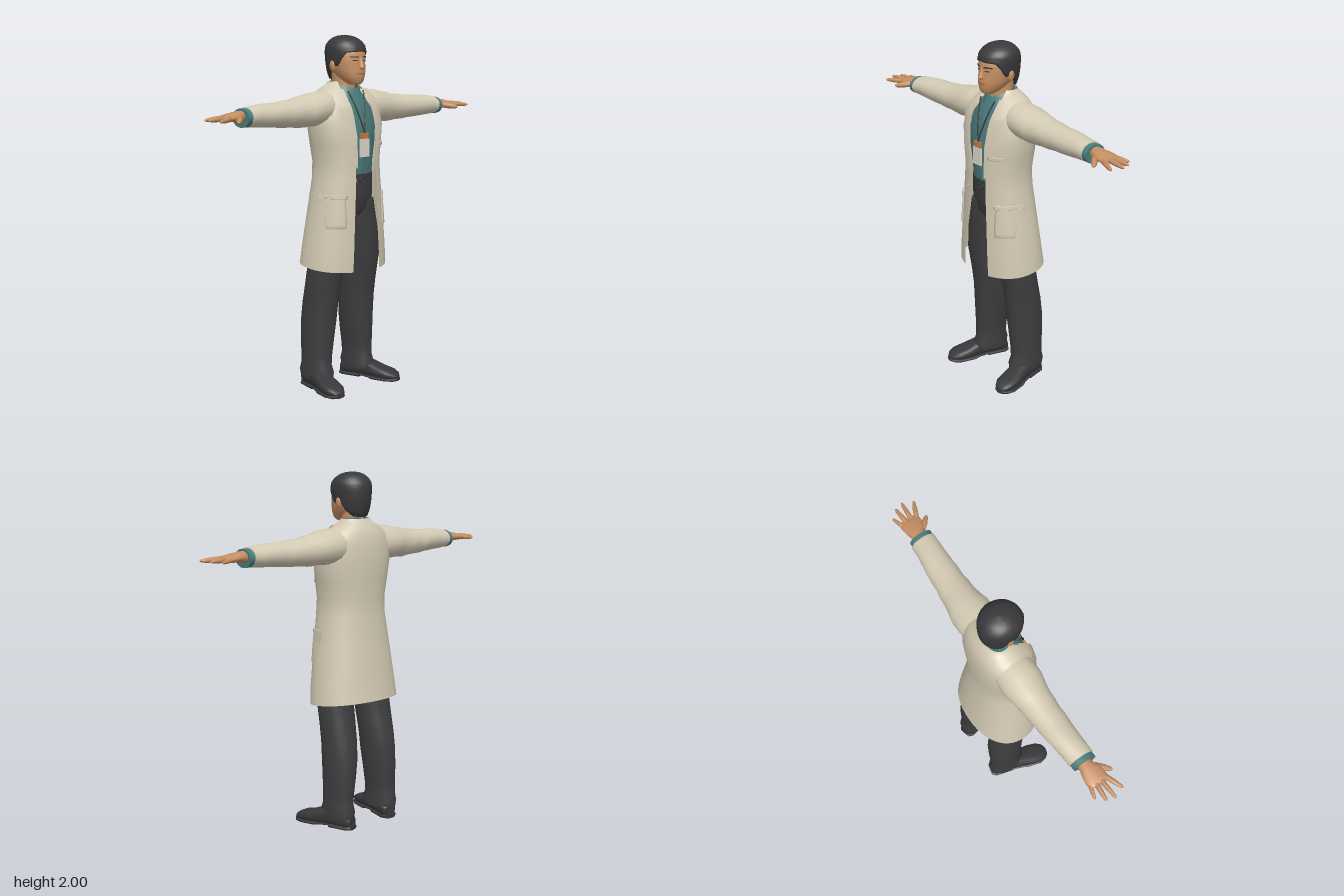
import * as THREE from 'three';
import { mergeGeometries } from 'three/addons/utils/BufferGeometryUtils.js';

const mat = (name, color, side = THREE.FrontSide) => Object.assign(new THREE.MeshStandardMaterial({ color, side }), { name });
const power = (v, p) => Math.sign(v) * Math.abs(v) ** p;

// Surface through rows of points; optional closed rings and end caps
function loft(rows, closed = true, caps = true) {
  if (closed && caps) {
    const centre = (row) => {
      const c = [0, 1, 2].map((k) => row.reduce((s, q) => s + q[k], 0) / row.length);
      return row.map(() => c);
    };
    const first = rows[0], last = rows[rows.length - 1];
    rows = [centre(first), first, ...rows, last, centre(last)];
  }
  const n = rows[0].length, idx = [];
  for (let i = 0; i < rows.length - 1; i++) {
    for (let j = 0; j < (closed ? n : n - 1); j++) {
      const k = (j + 1) % n, a = i * n + j, b = i * n + k, c = b + n, d = a + n;
      idx.push(a, b, c, a, c, d);
    }
  }
  const g = new THREE.BufferGeometry();
  g.setAttribute('position', new THREE.Float32BufferAttribute(rows.flat(2), 3));
  g.setIndex(idx);
  g.computeVertexNormals();
  return g;
}

// Linear lookup in a table whose first column is the key
function at(table, y) {
  let i = 0;
  while (i < table.length - 2 && y > table[i + 1][0]) i++;
  const a = table[i], b = table[i + 1];
  const t = THREE.MathUtils.clamp((y - a[0]) / (b[0] - a[0]), 0, 1);
  return a.map((v, k) => v + (b[k] - v) * t);
}

// Horizontal oval from a row [y, halfWidth, zFront, zBack, centreX]
const ovalPoint = ([y, w, zf, zb, cx = 0], a, p = 1) =>
  [cx + w * power(Math.sin(a), p), y, (zf + zb) / 2 + (zf - zb) / 2 * power(Math.cos(a), p)];
const ring = (row, n = 24, p = 1) => Array.from({ length: n }, (_, j) => ovalPoint(row, j / n * Math.PI * 2, p));
const upright = (table, p) => loft(table.map((r) => ring(r, 24, p)));

// Oval sections along x from rows [x, centreY, radiusY, centreZ, radiusZ]
const sideways = (table, fold = 0) => loft(table.map(([x, cy, ry, cz, rz]) =>
  Array.from({ length: 20 }, (_, j) => {
    const a = j / 20 * Math.PI * 2, f = 1 + fold * Math.sin(x * 75 + 2 * a);
    return [x, cy + ry * f * Math.cos(a), cz + rz * f * Math.sin(a)];
  })));

// Raised panel lying on the front of an oval body
function frontZ(table, x, y, p = 1) {
  const [, w, zf, zb] = at(table, y);
  return (zf + zb) / 2 + (zf - zb) / 2 * Math.max(0, 1 - Math.abs(x / w) ** (2 / p)) ** (p / 2);
}
function panel(table, x0, x1, y0, y1, off, p = 1) {
  const rim = (t) => Math.min(Math.max((t - 1) / 8, 0), 1);
  return loft(Array.from({ length: 11 }, (_, i) => Array.from({ length: 11 }, (_, j) => {
    const x = x0 + (x1 - x0) * rim(j), y = y0 + (y1 - y0) * rim(i);
    const edge = i === 0 || j === 0 || i === 10 || j === 10;
    return [x, y, frontZ(table, x, y, p) + (edge ? -0.003 : off)];
  })), false);
}

function mirror(g) {
  const m = g.clone().scale(-1, 1, 1), ix = m.index;
  for (let i = 0; i < ix.count; i += 3) {
    const t = ix.getX(i);
    ix.setX(i, ix.getX(i + 1));
    ix.setX(i + 1, t);
  }
  return m;
}

export function createModel() {
  const model = new THREE.Group();
  const coatMat = mat('coat cream', 0xd3cab3, THREE.DoubleSide), shirtMat = mat('shirt teal', 0x4b7b7b, THREE.DoubleSide);
  const pantsMat = mat('trouser grey', 0x3e3e40), shoeMat = mat('shoe grey', 0x38383a);
  const hairMat = mat('hair black', 0x39393b, THREE.DoubleSide), skinMat = mat('skin', 0xc48e62);
  const lipMat = mat('lip brown', 0xa06c4c, THREE.DoubleSide), badgeMat = mat('badge white', 0xdcd8cc);
  const clipMat = mat('clip orange', 0xc47a48);
  const add = (name, g, m) => {
    const mesh = new THREE.Mesh(g, m);
    mesh.name = name;
    model.add(mesh);
    return mesh;
  };
  const pair = (name, g, m) => { add('left' + name, g, m); add('right' + name, mirror(g), m); };

  // Coat body, open at the front: [y, halfWidth, zFront, zBack, opening]
  const coat = [
    [0.70, 0.268, 0.185, -0.21, 0.105], [0.80, 0.262, 0.185, -0.2, 0.1], [1.0, 0.235, 0.182, -0.175, 0.09],
    [1.2, 0.205, 0.18, -0.152, 0.08], [1.3, 0.2, 0.175, -0.15, 0.078], [1.4, 0.22, 0.172, -0.155, 0.076],
    [1.5, 0.238, 0.165, -0.158, 0.08], [1.6, 0.235, 0.135, -0.152, 0.085], [1.65, 0.21, 0.11, -0.14, 0.09],
    [1.69, 0.16, 0.08, -0.125, 0.085], [1.72, 0.1, 0.055, -0.1, 0.075], [1.74, 0.085, 0.04, -0.085, 0.07]];
  const P = 0.9;
  add('coatBody', loft(coat.map(([y, w, zf, zb, o]) => {
    const a0 = Math.asin((o / w) ** (1 / P));
    return Array.from({ length: 45 }, (_, j) => {
      const a = a0 + (2 * Math.PI - 2 * a0) * j / 44;
      const q = ovalPoint([y, w, zf, zb], a, P);
      if (y < 0.75) q[1] += (0.1 - q[2]) * 0.11;
      return q;
    });
  }), false), coatMat);

  // Sleeves with soft folds
  const sleeve = [
    [0.1, 1.605, 0.088, -0.02, 0.1], [0.18, 1.595, 0.095, -0.015, 0.115], [0.25, 1.592, 0.093, -0.015, 0.113],
    [0.3, 1.586, 0.088, -0.014, 0.102], [0.35, 1.582, 0.083, -0.014, 0.095], [0.4, 1.579, 0.077, -0.012, 0.089],
    [0.45, 1.578, 0.072, -0.01, 0.086], [0.5, 1.577, 0.069, -0.008, 0.083], [0.55, 1.578, 0.066, -0.006, 0.08],
    [0.62, 1.579, 0.061, -0.002, 0.077], [0.68, 1.578, 0.057, 0.002, 0.073], [0.735, 1.577, 0.053, 0.004, 0.07]];
  pair('Sleeve', sideways(sleeve, 0.025), coatMat);
  pair('ShirtCuff', sideways([[0.72, 1.575, 0.05, 0.004, 0.066], [0.765, 1.574, 0.05, 0.006, 0.066]]), shirtMat);

  // Lapels, notched below the collar: [y, outerX]
  const lapel = [[1.27, 0.082], [1.35, 0.105], [1.45, 0.13], [1.55, 0.155], [1.6, 0.168], [1.612, 0.135],
    [1.625, 0.16], [1.66, 0.145], [1.7, 0.115]];
  pair('Lapel', loft(lapel.map(([y, out]) => Array.from({ length: 7 }, (_, j) => {
    const inner = at(coat, y)[4] - 0.004, x = inner + (out - inner) * j / 6;
    return [x, y, frontZ(coat, x, y, P) + 0.009];
  })), false), coatMat);

  // Pockets
  pair('HipPocket', panel(coat, 0.145, 0.226, 0.94, 1.12, 0.009, P), coatMat);
  pair('PocketFlap', panel(coat, 0.14, 0.222, 1.105, 1.125, 0.014, P), coatMat);
  add('chestPocket', panel(coat, 0.1, 0.175, 1.385, 1.405, 0.01, P), coatMat);

  // Shirt, collar and placket
  const shirt = [[1.21, 0.17, 0.132, -0.12], [1.3, 0.172, 0.138, -0.125], [1.4, 0.188, 0.145, -0.13],
    [1.5, 0.2, 0.14, -0.13], [1.6, 0.18, 0.115, -0.12], [1.66, 0.13, 0.09, -0.1], [1.7, 0.07, 0.07, -0.065]];
  add('shirt', upright(shirt), shirtMat);
  add('placket', panel(shirt, -0.012, 0.012, 1.23, 1.62, 0.004), shirtMat);
  const collarRow = (w, d, c, y) => Array.from({ length: 25 }, (_, j) => {
    const a = 0.3 + (2 * Math.PI - 0.6) * j / 24;
    return [w * Math.sin(a), y(Math.cos(a)), c + d * Math.cos(a)];
  });
  add('shirtCollar', loft([
    collarRow(0.096, 0.085, 0.015, (c) => 1.67 - 0.04 * Math.max(0, c)),
    collarRow(0.082, 0.08, 0.005, (c) => 1.715 - 0.02 * c),
    collarRow(0.072, 0.074, 0.0, (c) => 1.735 - 0.025 * c)], false), shirtMat);

  // Trousers
  add('hips', upright([[0.99, 0.14, 0.09, -0.1], [1.03, 0.175, 0.118, -0.122], [1.12, 0.18, 0.134, -0.128],
    [1.23, 0.174, 0.138, -0.126]]), pantsMat);
  pair('TrouserLeg', upright([
    [0.065, 0.07, 0.05, -0.165, 0.165], [0.1, 0.073, 0.055, -0.172, 0.165], [0.14, 0.069, 0.038, -0.16, 0.166],
    [0.2, 0.072, 0.038, -0.16, 0.163], [0.3, 0.08, 0.045, -0.166, 0.157], [0.4, 0.088, 0.052, -0.165, 0.15],
    [0.5, 0.092, 0.058, -0.152, 0.146], [0.6, 0.096, 0.072, -0.132, 0.142], [0.75, 0.1, 0.1, -0.105, 0.138],
    [0.9, 0.1, 0.112, -0.11, 0.116], [1.0, 0.095, 0.117, -0.118, 0.095], [1.08, 0.085, 0.118, -0.118, 0.085]], 0.92), pantsMat);
  const buckle = add('buckle', new THREE.TorusGeometry(0.018, 0.005, 6, 16), shoeMat);
  buckle.position.set(0, 1.195, 0.138);
  buckle.scale.y = 0.7;

  // Shoes, toes turned out: [z, halfWidth, bottom, top]
  const shoeLoft = (rows) => loft(rows.map(([z, w, lo, hi]) => Array.from({ length: 20 }, (_, j) => {
    const a = j / 20 * Math.PI * 2;
    return [-w * power(Math.sin(a), 0.75), (lo + hi) / 2 + (hi - lo) / 2 * power(Math.cos(a), 0.75), z];
  }))).rotateY(0.26).translate(0.19, 0, 0);
  pair('Shoe', shoeLoft([[-0.165, 0.035, 0.015, 0.07], [-0.14, 0.052, 0.012, 0.1], [-0.04, 0.053, 0.012, 0.125],
    [0.03, 0.056, 0.012, 0.105], [0.1, 0.064, 0.012, 0.078], [0.155, 0.06, 0.012, 0.066],
    [0.19, 0.043, 0.014, 0.05], [0.205, 0.02, 0.016, 0.032]]), shoeMat);
  pair('Sole', shoeLoft([[-0.17, 0.035, 0, 0.026], [-0.145, 0.053, 0, 0.026], [-0.035, 0.053, 0, 0.026],
    [-0.03, 0.052, 0.012, 0.026], [0.03, 0.057, 0.008, 0.024], [0.06, 0.064, 0, 0.022],
    [0.15, 0.065, 0, 0.022], [0.19, 0.046, 0, 0.022], [0.209, 0.02, 0.004, 0.022]]), shoeMat);

  // Hands: palm plus tapered digits from base to tip
  const digit = (a, b, r0, r1) => {
    const A = new THREE.Vector3(...a), d = new THREE.Vector3(...b).sub(A), len = d.length();
    const g = new THREE.LatheGeometry([[0, 0], [r0, 0.001], [r0 * 0.95, len * 0.5], [r1, len * 0.88], [r1 * 0.6, len * 0.97], [0, len]]
      .map((q) => new THREE.Vector2(...q)), 10);
    g.deleteAttribute('uv');
    g.applyQuaternion(new THREE.Quaternion().setFromUnitVectors(new THREE.Vector3(0, 1, 0), d.normalize()));
    return g.translate(...a);
  };
  pair('Hand', mergeGeometries([
    sideways([[0.74, 1.58, 0.034, 0.002, 0.036], [0.785, 1.582, 0.03, 0.003, 0.042], [0.82, 1.582, 0.025, 0.007, 0.056],
      [0.86, 1.579, 0.02, 0.007, 0.06], [0.885, 1.577, 0.016, 0.007, 0.056], [0.895, 1.576, 0.01, 0.007, 0.05]]),
    digit([0.8, 1.575, 0.04], [0.865, 1.56, 0.108], 0.018, 0.011),
    digit([0.87, 1.577, 0.05], [0.975, 1.57, 0.095], 0.014, 0.009),
    digit([0.875, 1.58, 0.022], [1.0, 1.575, 0.033], 0.014, 0.009),
    digit([0.875, 1.58, -0.008], [0.985, 1.574, -0.015], 0.014, 0.009),
    digit([0.865, 1.577, -0.036], [0.945, 1.57, -0.058], 0.012, 0.008)]), skinMat);

  // Head, neck and features
  const head = [[1.725, 0.03, 0.115, 0.04], [1.74, 0.05, 0.13, 0.01], [1.77, 0.072, 0.134, -0.04], [1.8, 0.085, 0.134, -0.065],
    [1.84, 0.094, 0.127, -0.085], [1.88, 0.099, 0.128, -0.09], [1.92, 0.096, 0.115, -0.088], [1.96, 0.075, 0.08, -0.065]];
  add('head', upright(head), skinMat);
  add('neck', upright([[1.64, 0.068, 0.068, -0.075], [1.7, 0.06, 0.062, -0.075], [1.8, 0.06, 0.06, -0.075]]), skinMat);
  add('nose', loft([[1.806, 0.012, 0.136, 0.11], [1.814, 0.018, 0.15, 0.105], [1.822, 0.015, 0.152, 0.105],
    [1.845, 0.01, 0.139, 0.1], [1.872, 0.009, 0.131, 0.1]].map((r) => ring(r, 12))), skinMat);
  pair('Ear', new THREE.SphereGeometry(1, 12, 8).scale(0.012, 0.032, 0.02).rotateZ(-0.15).translate(0.097, 1.825, 0.005), skinMat);
  pair('Brow', panel(head, 0.018, 0.062, 1.872, 1.879, 0.003), hairMat);
  pair('Eye', panel(head, 0.024, 0.05, 1.853, 1.858, 0.002), hairMat);
  add('mouth', panel(head, -0.026, 0.026, 1.779, 1.788, 0.003), lipMat);

  // Hair shell; its lower edge follows the hairline: [angle from front, y]
  const hair = [[1.74, 0.07, 0.07, -0.085], [1.79, 0.094, 0.12, -0.105], [1.84, 0.102, 0.131, -0.113], [1.9, 0.109, 0.132, -0.115],
    [1.935, 0.107, 0.122, -0.109], [1.96, 0.092, 0.1, -0.092], [1.978, 0.07, 0.073, -0.07], [1.99, 0.04, 0.04, -0.04], [1.995, 0, 0, 0]];
  const hairline = [[0, 1.905], [0.8, 1.9], [1.1, 1.86], [1.25, 1.825], [1.45, 1.825], [1.65, 1.85], [1.95, 1.79], [2.3, 1.755], [3.15, 1.748]];
  const hairRow = (t, shrink) => Array.from({ length: 48 }, (_, j) => {
    const a = j / 48 * Math.PI * 2, low = at(hairline, Math.min(a, 2 * Math.PI - a))[1];
    const q = ovalPoint(at(hair, low + (1.995 - low) * t), a);
    return [q[0] * shrink, q[1], q[2] * shrink];
  });
  add('hair', loft([hairRow(0, 0.85), ...Array.from({ length: 15 }, (_, i) => hairRow(1 - (1 - i / 14) ** 1.4, 1))], true, false), hairMat);

  // Lanyard and badge
  const cord = new THREE.CatmullRomCurve3([[0.06, 1.69, 0.088], [0.036, 1.6, 0.125], [0.012, 1.51, 0.147], [0, 1.46, 0.156]]
    .map((q) => new THREE.Vector3(...q)));
  pair('Lanyard', new THREE.TubeGeometry(cord, 12, 0.004, 6), shoeMat);
  add('badgeClip', new THREE.BoxGeometry(0.055, 0.036, 0.012), clipMat).position.set(-0.002, 1.442, 0.157);
  add('badge', new THREE.BoxGeometry(0.066, 0.1, 0.012), badgeMat).position.set(-0.003, 1.378, 0.158);
  return model;
}
